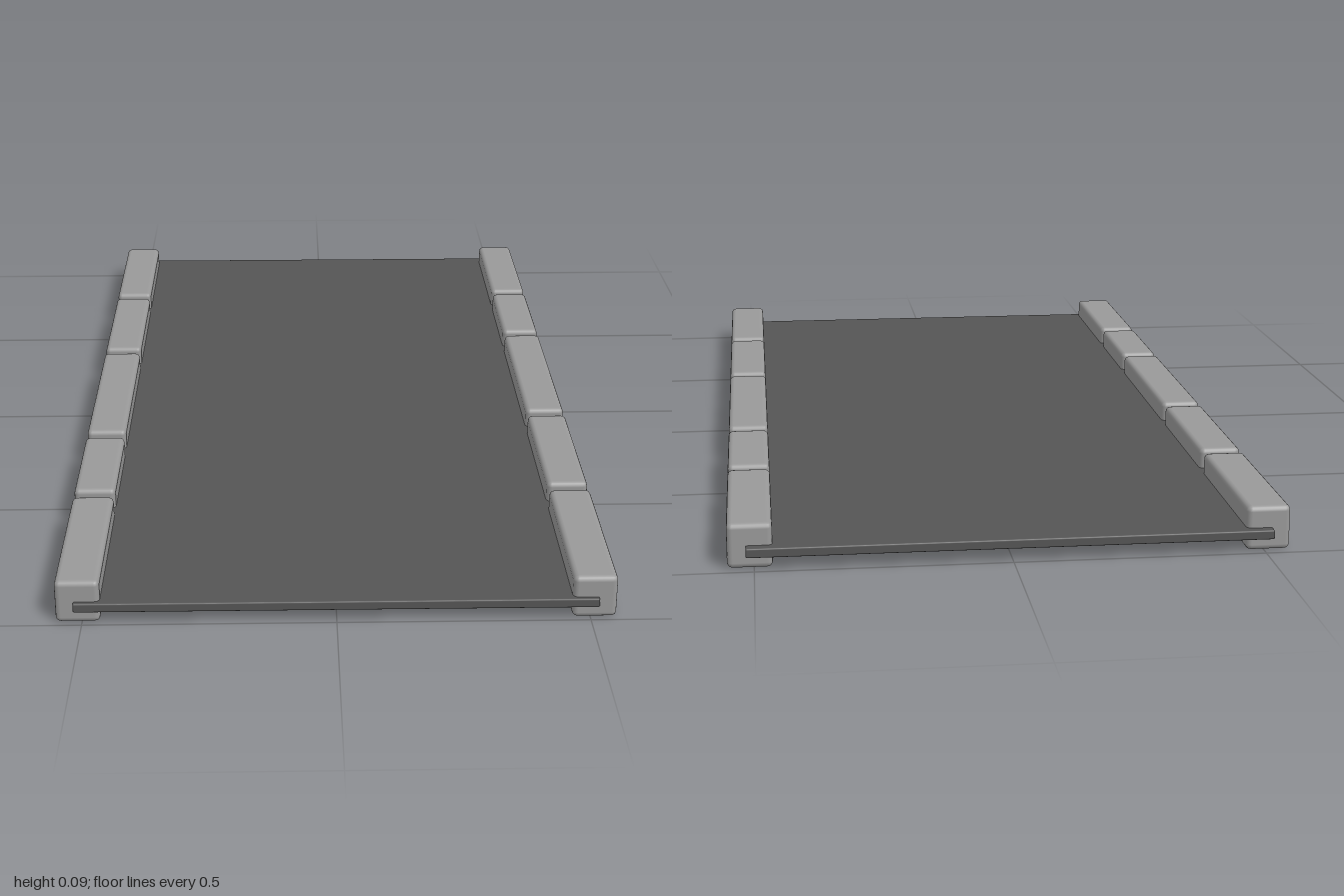
import * as THREE from 'three';
import { RoundedBoxGeometry } from 'three/addons/geometries/RoundedBoxGeometry.js';

const slabMaterial = new THREE.MeshStandardMaterial({ color: 0x555555 });
const kerbMaterial = new THREE.MeshStandardMaterial({ color: 0x999999 });

// Start and end of each kerb stone along z
const leftStones = [[-0.98, -0.615], [-0.59, -0.316], [-0.289, 0.186], [0.213, 0.575], [0.602, 0.991]];
const rightStones = [[-0.982, -0.604], [-0.577, -0.215], [-0.188, 0.287], [0.314, 0.588], [0.615, 0.99]];

function addBlock(parent, name, size, position, radius, material) {
  const mesh = new THREE.Mesh(new RoundedBoxGeometry(...size, 2, radius), material);
  mesh.name = name;
  mesh.position.set(...position);
  parent.add(mesh);
}

// Row of kerb stones of uneven length
function kerbRow(name, x, stones) {
  const row = new THREE.Group();
  row.name = name;
  stones.forEach(([z0, z1], i) => {
    addBlock(row, `kerbStone${i + 1}`, [0.088, 0.09, z1 - z0], [x, 0.047, (z0 + z1) / 2], 0.011, kerbMaterial);
  });
  return row;
}

export function createModel() {
  const model = new THREE.Group();
  model.name = 'roadSection';

  // Thin road slab running through both kerbs
  addBlock(model, 'roadSlab', [1.032, 0.019, 2], [0, 0.039, 0], 0.003, slabMaterial);

  model.add(kerbRow('leftKerb', 0.508, leftStones), kerbRow('rightKerb', -0.508, rightStones));
  return model;
}
